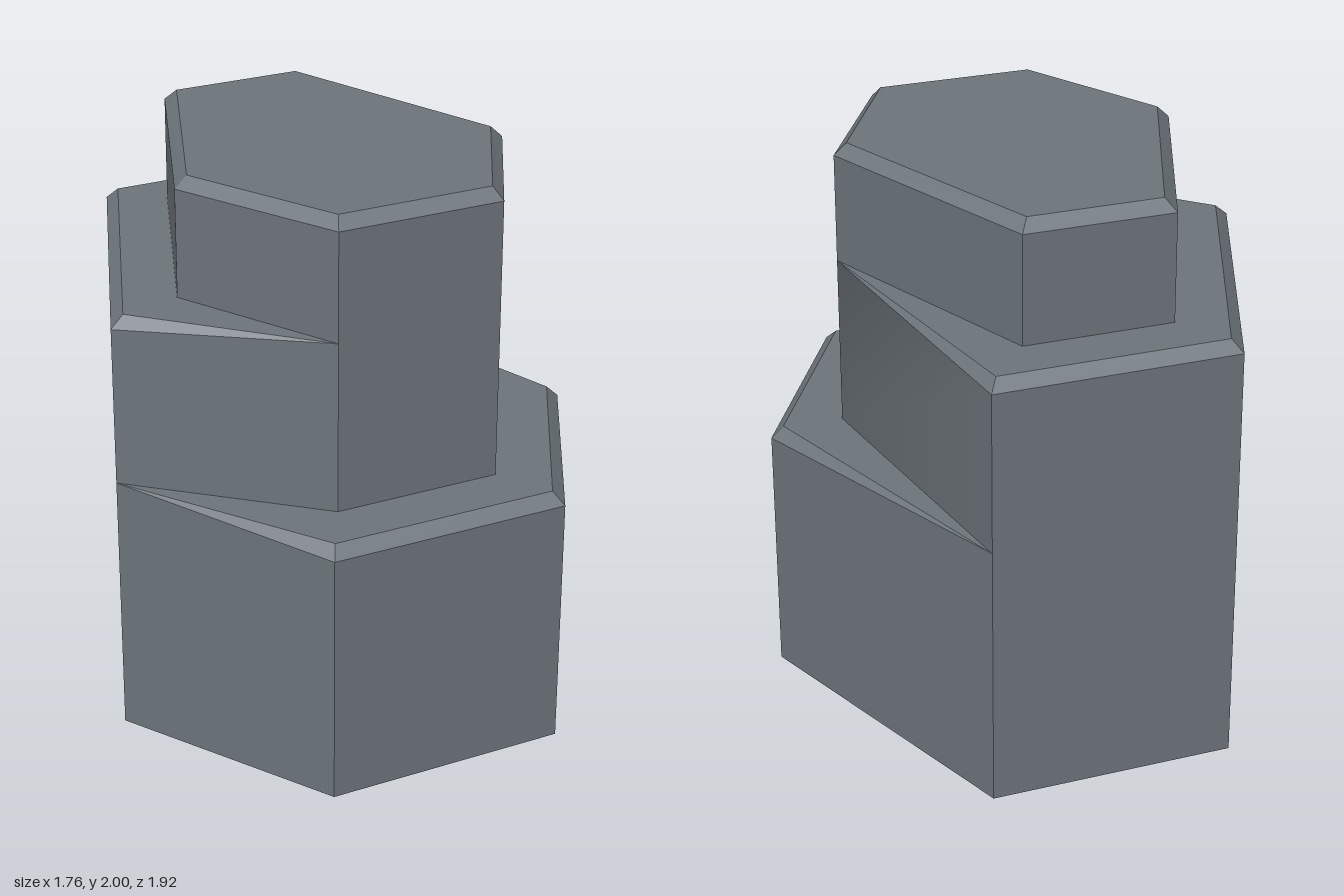
import * as THREE from 'three';
import { toCreasedNormals } from 'three/addons/utils/BufferGeometryUtils.js';

// Flat triangles from 3D corners; each face lists corners anticlockwise and is fanned
function facesToGeometry(faces, crease) {
  const pos = [];
  for (const f of faces) {
    for (let i = 1; i < f.length - 1; i++) {
      const [a, b, c] = [f[0], f[i], f[i + 1]].map((p) => new THREE.Vector3(...p));
      const area = b.clone().sub(a).cross(c.clone().sub(a)).length();
      if (area > 1e-7) pos.push(...a, ...b, ...c);
    }
  }
  const geo = new THREE.BufferGeometry();
  geo.setAttribute('position', new THREE.Float32BufferAttribute(pos, 3));
  return toCreasedNormals(geo, crease);
}

export function createModel() {
  const model = new THREE.Group();
  const slate = new THREE.MeshStandardMaterial({ color: 0x6e767c });
  slate.name = 'slateGrey';

  // Corners as [x, z], from back left round to the left side
  const big = [[-0.42, -0.96], [0.46, -0.96], [0.88, 0.19], [0.44, 0.96], [-0.44, 0.96], [-0.885, 0.19]];
  const bigInner = [[-0.39, -0.92], [0.43, -0.92], [0.835, 0.185], [0.415, 0.915], [-0.415, 0.915], [-0.835, 0.18]];
  const small = [[-0.27, -0.735], [0.27, -0.735], [0.62, 0.17], [0.305, 0.72], [-0.305, 0.72], [-0.615, 0.13]];
  const smallInner = [[-0.24, -0.693], [0.24, -0.693], [0.575, 0.165], [0.285, 0.677], [-0.285, 0.677], [-0.57, 0.13]];

  // One tier: walls, a bevel fading out at corners shared with the tier above, and a lid
  function addTier(name, outer, inner, y0, y1, shared, hasFloor) {
    const group = new THREE.Group();
    group.name = name;
    const n = outer.length;
    const bottom = outer.map(([x, z]) => [x, y0, z]);
    const rim = outer.map(([x, z], i) => [x, shared.includes(i) ? y1 : y1 - 0.042, z]);
    const lid = outer.map((p, i) => {
      const [x, z] = shared.includes(i) ? p : inner[i];
      return [x, y1, z];
    });
    const band = (lo, hi) => lo.map((p, i) => {
      const j = (i + 1) % n;
      return [lo[j], p, hi[i], hi[j]];
    });
    const walls = band(bottom, rim);
    const caps = [...band(rim, lid), [...lid].reverse()];
    if (hasFloor) caps.push(bottom);
    // Walls blend across the shallow corner; bevels and lids stay crisp
    const parts = {
      Walls: facesToGeometry(walls, THREE.MathUtils.degToRad(40)),
      Top: facesToGeometry(caps, 0.01),
    };
    for (const [suffix, geo] of Object.entries(parts)) {
      const mesh = new THREE.Mesh(geo, slate);
      mesh.name = name + suffix;
      group.add(mesh);
    }
    model.add(group);
  }

  // Middle tier: back and left corners of the base, front and right corners of the crown
  const fromBig = [0, 1, 5];
  const mix = (a, b) => a.map((p, i) => (fromBig.includes(i) ? p : b[i]));

  addTier('baseTier', big, bigInner, 0, 0.953, fromBig, true);
  addTier('middleTier', mix(big, small), mix(bigInner, smallInner), 0.953, 1.568, [2, 3, 4], false);
  addTier('crownTier', small, smallInner, 1.568, 2, [], false);
  return model;
}
